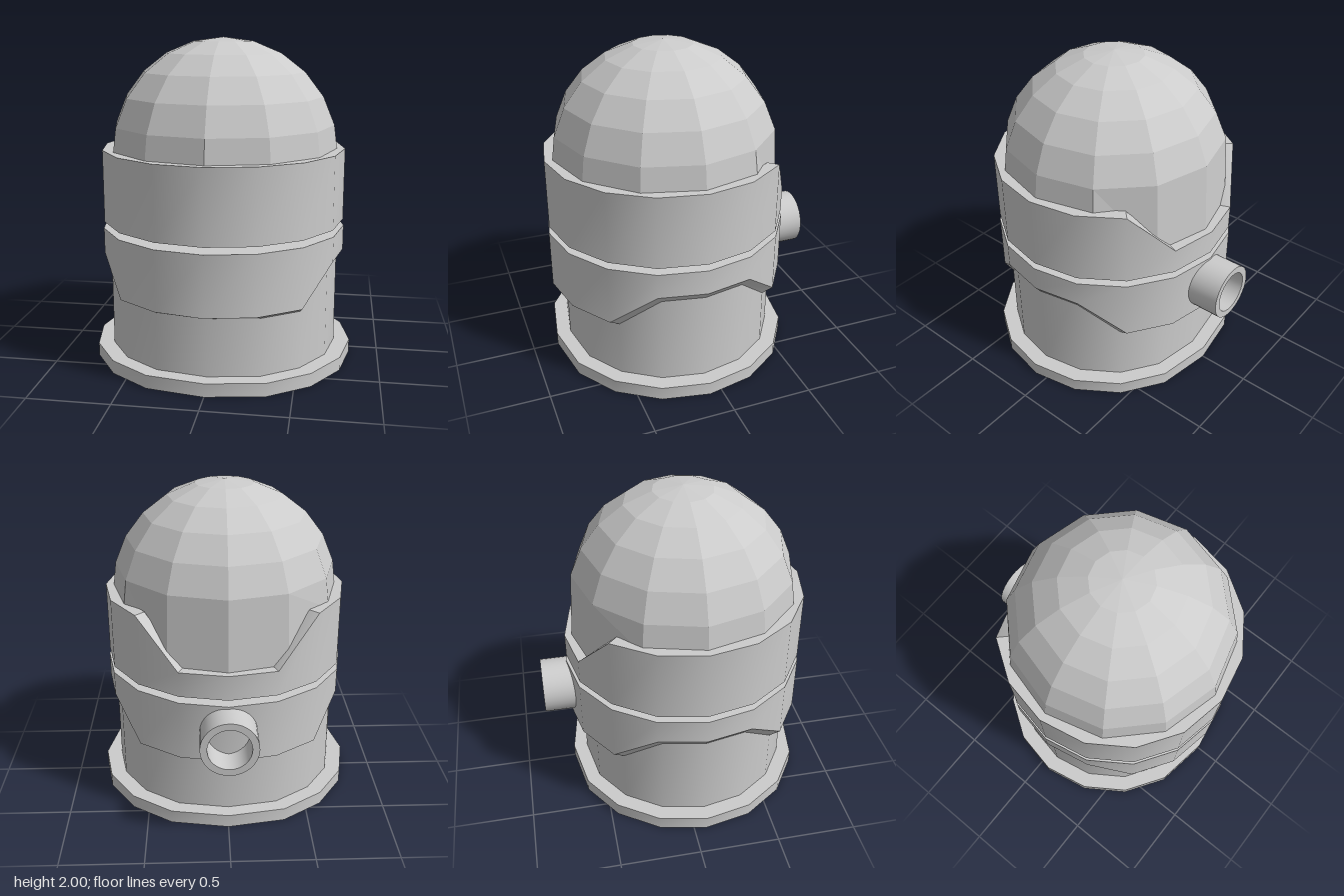
import * as THREE from 'three';
import { toCreasedNormals } from 'three/addons/utils/BufferGeometryUtils.js';

const SIDES = 16;
const CZ = 0.08; // axis of the round body

// One 16-sided cross-section; widen pushes the halves apart in x, y may depend on the corner index
function section(r, y, widen = 0) {
  return Array.from({ length: SIDES }, (_, i) => {
    const a = (i / SIDES) * Math.PI * 2;
    const s = Math.sin(a);
    const side = Math.abs(s) < 1e-6 ? 0 : Math.sign(s);
    return [r * s + side * widen, typeof y === 'function' ? y(i) : y, r * Math.cos(a)];
  });
}

// Skin a list of cross-sections (up the outside, down the inside)
function loft(loops, closed = false) {
  const index = [];
  const count = closed ? loops.length : loops.length - 1;
  for (let k = 0; k < count; k++) {
    const lo = k * SIDES, hi = ((k + 1) % loops.length) * SIDES;
    for (let i = 0; i < SIDES; i++) {
      const j = (i + 1) % SIDES;
      index.push(lo + i, lo + j, hi + j, lo + i, hi + j, hi + i);
    }
  }
  const geo = new THREE.BufferGeometry();
  geo.setAttribute('position', new THREE.Float32BufferAttribute(loops.flat(2), 3));
  geo.setIndex(index);
  return toCreasedNormals(geo, 0.55);
}

export function createModel() {
  const group = new THREE.Group();
  const smooth = new THREE.MeshStandardMaterial({ color: 0xcccccc });
  const faceted = new THREE.MeshStandardMaterial({ color: 0xcccccc, flatShading: true, side: THREE.DoubleSide });

  const add = (name, geo, material = smooth, y = 0, z = CZ) => {
    const mesh = new THREE.Mesh(geo, material);
    mesh.name = name;
    mesh.position.set(0, y, z);
    group.add(mesh);
    return mesh;
  };

  // Base flange
  add('baseFlange', loft([
    section(0.76, 0, 0.06), section(0.76, 0.083, 0.06),
    section(0.57, 0.083, 0.05), section(0.57, 0, 0.05),
  ], true));

  // Hollow lower body, closed above on the inside
  add('lowerBody', loft([
    section(0.67, 0.06, 0.05), section(0.67, 0.75, 0.05),
    section(0, 0.75), section(0, 0.74),
    section(0.57, 0.74, 0.05), section(0.57, 0.06, 0.05),
  ], true));

  // Middle collar: lower edge steps up over both sides, with a bevel underneath
  const isSide = (i) => Math.abs((i % 8) - 4) <= 1;
  add('middleCollar', loft([
    section(0.67, (i) => (isSide(i) ? 0.64 : 0.44), 0.05),
    section(0.76, (i) => (isSide(i) ? 0.69 : 0.475)),
    section(0.76, 0.845), section(0.58, 0.845),
  ]));

  // Recessed neck
  add('neck', loft([section(0.61, 0.8), section(0.61, 0.95)]));

  // Upper collar with a notch at the back
  const rim = (i) => (Math.abs(i - 8) <= 1 ? 1.04 : 1.33);
  add('upperCollar', loft([
    section(0.755, 0.885), section(0.755, rim),
    section(0.68, rim), section(0.58, 0.885),
  ], true));

  // Faceted dome; the rear of its lowest row is pulled down into the notch
  const dome = new THREE.SphereGeometry(0.71, 12, 6, 0, Math.PI * 2, 0, Math.PI / 2);
  const p = dome.attributes.position;
  for (let i = 0; i < p.count; i++) {
    if (Math.abs(p.getY(i)) < 0.01 && p.getZ(i) < -0.6) p.setY(i, -0.27);
  }
  add('dome', dome, faceted, 1.29);

  // Rear pipe stub
  const profile = [[0.172, 0], [0.172, 0.245], [0.13, 0.245], [0.13, 0]]
    .map(([r, h]) => new THREE.Vector2(r, h));
  const pipe = add('rearPipe', toCreasedNormals(new THREE.LatheGeometry(profile, 32), 0.55), smooth, 0.66, -0.6);
  pipe.rotation.x = -Math.PI / 2;

  return group;
}
